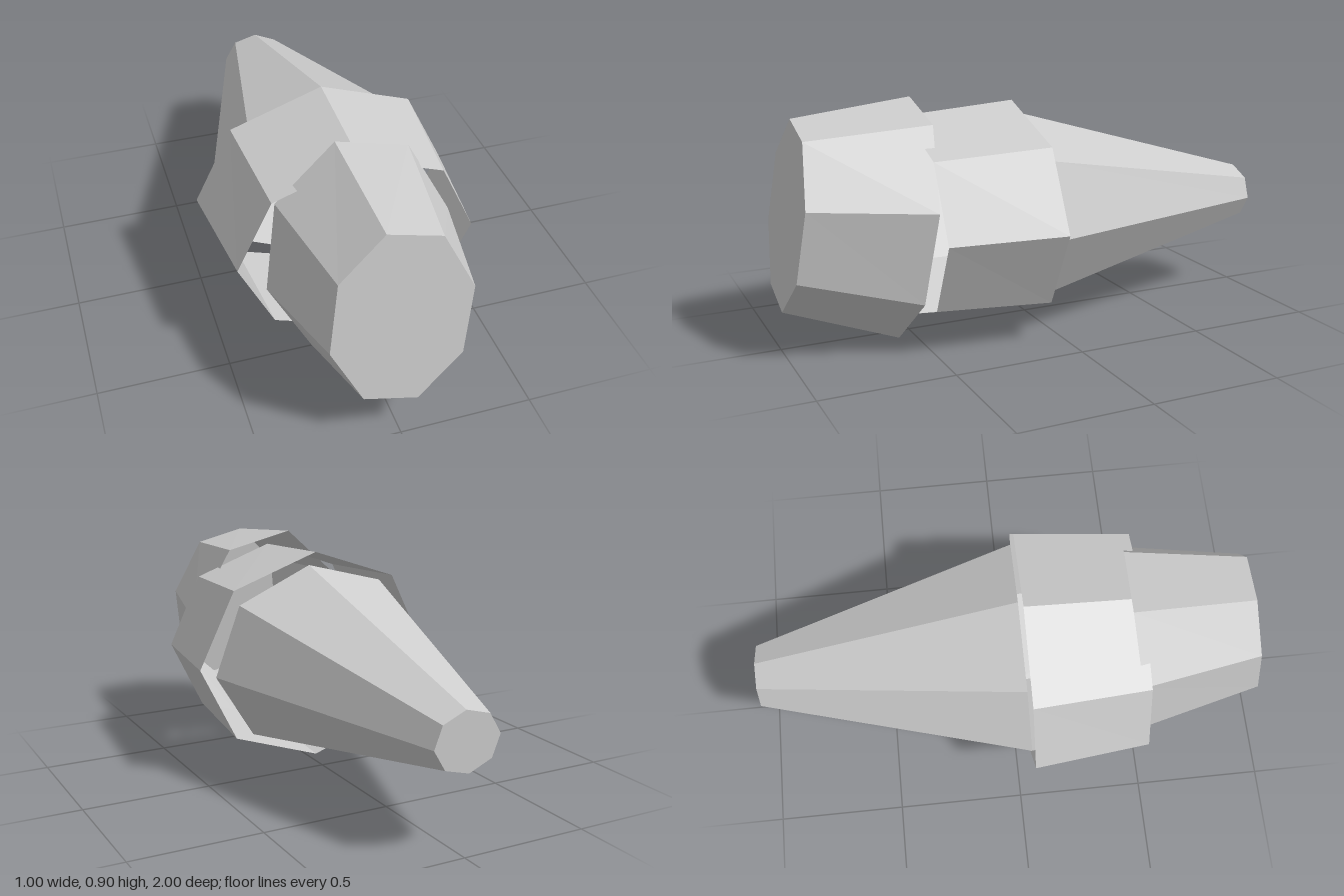
import * as THREE from 'three';

const SIDES = 8;

// Elliptical ring of points around the z axis; tilt leans the ring so its top moves along z
function ring({ y, z, rx, ry, turn = 0, tilt = 0 }) {
  return Array.from({ length: SIDES }, (_, i) => {
    const a = THREE.MathUtils.degToRad(turn) + (i / SIDES) * Math.PI * 2;
    const dy = ry * Math.sin(a);
    return [rx * Math.cos(a), y + dy, z + tilt * dy];
  });
}

// Faceted thin shell between a back ring and a front ring, with optional end caps
function shell(back, front, { capBack = false, capFront = false } = {}) {
  const b = ring(back), f = ring(front), tris = [];
  for (let i = 0; i < SIDES; i++) {
    const j = (i + 1) % SIDES;
    tris.push(b[i], b[j], f[j], b[i], f[j], f[i]);
    if (capFront) tris.push([0, front.y, front.z], f[i], f[j]);
    if (capBack) tris.push([0, back.y, back.z], b[j], b[i]);
  }
  const geometry = new THREE.BufferGeometry();
  geometry.setAttribute('position', new THREE.Float32BufferAttribute(tris.flat(), 3));
  geometry.computeVertexNormals();
  return geometry;
}

export function createModel() {
  const group = new THREE.Group();
  const grey = new THREE.MeshStandardMaterial({ color: 0xcccccc, flatShading: true, side: THREE.DoubleSide });
  grey.name = 'light grey';

  const add = (name, geometry) => {
    const mesh = new THREE.Mesh(geometry, grey);
    mesh.name = name;
    group.add(mesh);
  };

  // Tilted front section, closed at the front and open behind
  add('frontSection', shell(
    { y: 0.453, z: 0.505, rx: 0.358, ry: 0.46, turn: 12, tilt: -0.132 },
    { y: 0.511, z: 0.955, rx: 0.262, ry: 0.352, turn: 12, tilt: -0.132 },
    { capFront: true },
  ));

  // Wide middle collar, open at both ends
  add('middleCollar', shell(
    { y: 0.454, z: 0.055, rx: 0.5, ry: 0.42 },
    { y: 0.454, z: 0.5, rx: 0.45, ry: 0.391 },
  ));

  // Long tapering tail, open at the collar and closed at the tip
  add('taperedTail', shell(
    { y: 0.408, z: -0.995, rx: 0.131, ry: 0.112, turn: -5, tilt: -0.022 },
    { y: 0.453, z: 0.047, rx: 0.44, ry: 0.376, turn: -5, tilt: -0.022 },
    { capBack: true },
  ));

  return group;
}
